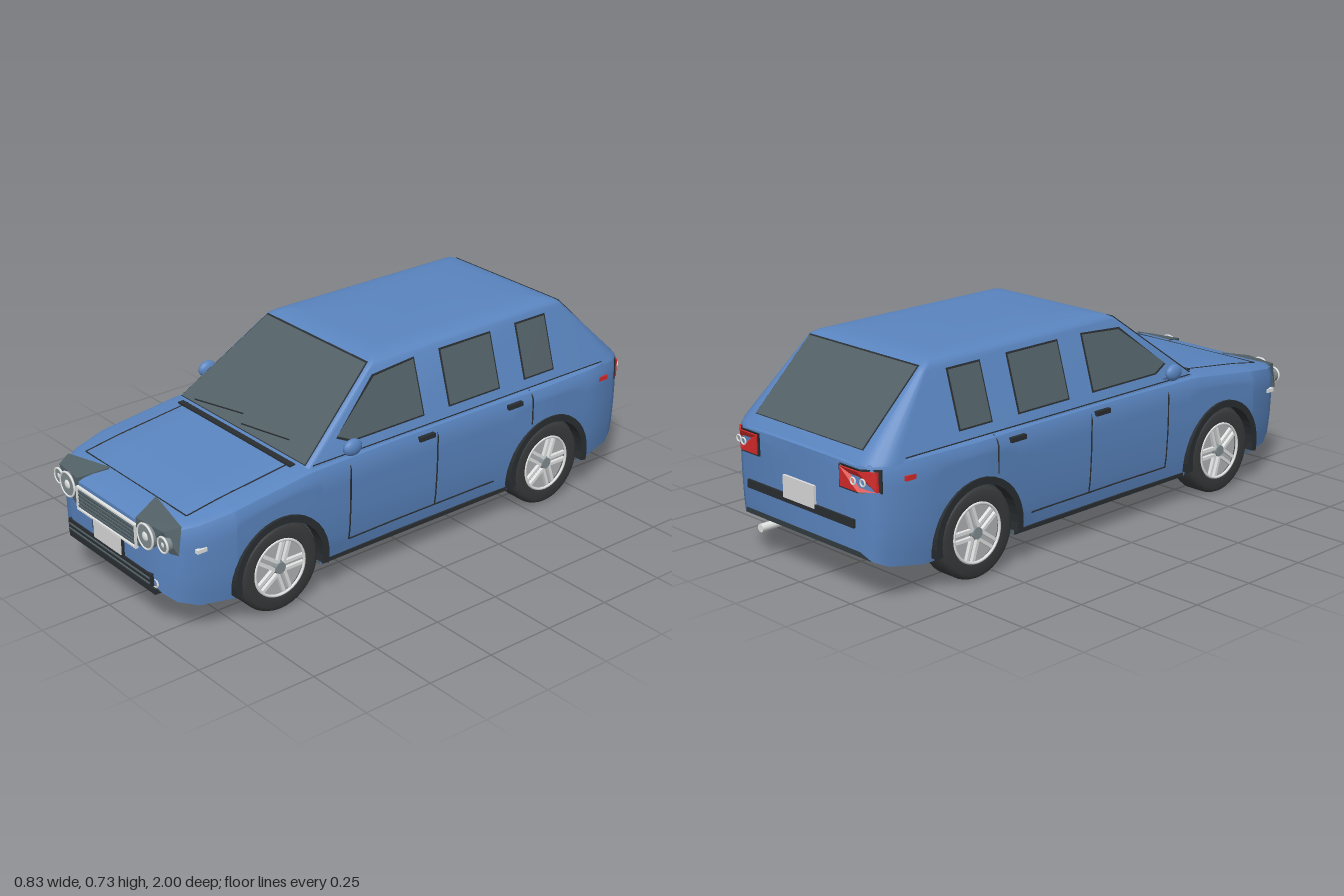
import * as THREE from 'three';
import { toCreasedNormals } from 'three/addons/utils/BufferGeometryUtils.js';

const material = (name, color, side = THREE.FrontSide) => {
  const m = new THREE.MeshStandardMaterial({ color, side });
  m.name = name;
  return m;
};
const V = (x, y, z) => new THREE.Vector3(x, y, z);

// Piecewise linear lookup: rows sorted by first column
function lookup(table, k, col = 1) {
  let i = 1;
  while (i < table.length - 1 && k > table[i][0]) i++;
  const a = table[i - 1], b = table[i];
  const t = THREE.MathUtils.clamp((k - a[0]) / (b[0] - a[0]), 0, 1);
  return a[col] + (b[col] - a[col]) * t;
}

// Lower body stations: z, half width, top, bottom
const STATIONS = [
  [-0.985, 0.29, 0.45, 0.175], [-0.965, 0.33, 0.465, 0.145], [-0.92, 0.358, 0.468, 0.125], [-0.8, 0.383, 0.468, 0.106],
  [-0.58, 0.389, 0.466, 0.1], [-0.3, 0.379, 0.465, 0.1], [0.1, 0.378, 0.465, 0.1], [0.46, 0.385, 0.462, 0.1],
  [0.76, 0.385, 0.425, 0.1], [0.88, 0.36, 0.405, 0.11], [0.94, 0.325, 0.395, 0.13], [0.97, 0.28, 0.385, 0.155],
  [0.985, 0.22, 0.375, 0.19],
];
const TAIL = [[0, 0.985], [0.29, 0.985], [0.33, 0.965], [0.358, 0.92]];
const WHEEL_Z = [0.59, -0.585], WHEEL_R = 0.155, ARCH_R = 0.17;

const bodyTop = z => lookup(STATIONS, z, 2);
function bodyX(y, z) {
  const T = bodyTop(z);
  return lookup(STATIONS, z, 1) * lookup([[0.1, 0.94], [0.15, 0.966], [0.2, 0.985], [0.3, 1],
    [T - 0.04, 1], [T - 0.012, 0.97], [T - 0.002, 0.9]], y);
}
// Flat faces of the cabin
const cabinX = y => 0.357 - (y - 0.46) * 0.304;
const screenZ = y => 0.463 - (y - 0.46) * 1.296;
const hatchZ = y => -0.975 + (y - 0.46) * 1.043;

// Skin over rows of points
function skin(rows, crease = 0.6) {
  const n = rows[0].length, index = [];
  for (let i = 0; i < rows.length - 1; i++) for (let j = 0; j < n - 1; j++) {
    const a = i * n + j, c = a + n;
    index.push(a, c, a + 1, a + 1, c, c + 1);
  }
  const g = new THREE.BufferGeometry().setFromPoints(rows.flat());
  g.setIndex(index);
  return toCreasedNormals(g, crease);
}

// Thin plate from an outline, laid on a surface by a mapping rule
function plate(points, depth, map, hole) {
  const s = new THREE.Shape(points.map(p => new THREE.Vector2(...p)));
  if (hole) s.holes.push(new THREE.Path(hole.map(p => new THREE.Vector2(...p))));
  const g = new THREE.ExtrudeGeometry(s, { depth, bevelEnabled: false }), p = g.attributes.position;
  for (let i = 0; i < p.count; i++) p.setXYZ(i, ...map(p.getX(i), p.getY(i), p.getZ(i)));
  g.computeVertexNormals();
  return g;
}
const rect = (x0, x1, y0, y1) => [[x0, y0], [x1, y0], [x1, y1], [x0, y1]];
function outset(points, d) {
  const n = points.length, cx = points.reduce((s, p) => s + p[0], 0) / n, cy = points.reduce((s, p) => s + p[1], 0) / n;
  return points.map(([x, y]) => [x + Math.sign(x - cx) * d, y + Math.sign(y - cy) * d]);
}

function mirrored(geometry) {
  const g = geometry.index ? geometry.toNonIndexed() : geometry.clone();
  g.scale(-1, 1, 1);
  for (const a of Object.values(g.attributes)) {
    const s = a.itemSize;
    for (let i = 0; i < a.count; i += 3) for (let k = 0; k < s; k++) {
      const q = (i + 1) * s + k, r = (i + 2) * s + k;
      [a.array[q], a.array[r]] = [a.array[r], a.array[q]];
    }
  }
  return g;
}
const tube = (points, r) => new THREE.TubeGeometry(new THREE.CatmullRomCurve3(points), points.length * 3, r, 5);
const box = (w, h, d, x, y, z) => new THREE.BoxGeometry(w, h, d).translate(x, y, z);
const disc = (r, d, x, y, z) => new THREE.CylinderGeometry(r, r, d, 24).rotateX(Math.PI / 2).translate(x, y, z);

export function createModel() {
  const car = new THREE.Group();
  car.name = 'car';
  const paint = material('blue paint', 0x5a85c0), glass = material('dark grey glass', 0x526167, THREE.DoubleSide);
  const trim = material('black trim', 0x2a2e31, THREE.DoubleSide), rubber = material('tyre rubber', 0x383a3b);
  const chrome = material('bright metal', 0xe2e3e3), lens = material('lamp lens', 0x818c90);
  const red = material('red lens', 0xd42a2a), plateGrey = material('plate grey', 0xdadadc), silver = material('wheel silver', 0xb0b3b5);
  const add = (name, g, mat, parent = car) => {
    const m = new THREE.Mesh(g, mat);
    m.name = name;
    parent.add(m);
    return m;
  };
  const pair = (name, g, mat) => { add(name + 'Left', g, mat); add(name + 'Right', mirrored(g), mat); };

  // Lower body with wheel openings: [z, lower edge, width factor]
  const cuts = STATIONS.filter(s => WHEEL_Z.every(c => Math.abs(s[0] - c) > ARCH_R + 0.005)).map(s => [s[0], s[3], 1]);
  for (const c of WHEEL_Z) {
    for (const e of [-1, 1]) { const z = c + e * (ARCH_R + 1e-6); cuts.push([z, lookup(STATIONS, z, 3), 1]); }
    for (let i = 0; i <= 16; i++) {
      const a = Math.PI * i / 16;
      cuts.push([c + ARCH_R * Math.cos(a), WHEEL_R + ARCH_R * Math.sin(a), 1]);
    }
  }
  cuts.sort((a, b) => b[0] - a[0]);
  cuts.unshift([0.985, 0.19, 0]);
  cuts.push([-0.985, 0.175, 0]);
  const shell = [], floor = [];
  for (const [z, low, f] of cuts) {
    const T = bodyTop(z), B = lookup(STATIONS, z, 3), w = lookup(STATIONS, z, 1) * f, half = [];
    for (let k = 0; k <= 6; k++) {
      const y = low + (T - 0.04 - low) * k / 6;
      half.push([bodyX(y, z) * f, y]);
    }
    half.push([w * 0.97, T - 0.012], [w * 0.9, T - 0.002], [w * 0.5, T]);
    const flip = h => [...h].reverse().map(([x, y]) => V(-x, y, z));
    shell.push([...half.map(([x, y]) => V(x, y, z)), V(0, T, z), ...flip(half)]);
    const inner = Math.min(0.26, w * 0.8), under = [[0, B], [inner, B], [inner, low], half[0]];
    floor.push([...flip(under), ...under.map(([x, y]) => V(x, y, z))]);
  }
  add('lowerBody', skin(shell), paint);
  add('underbody', skin(floor, 0.3), glass);

  // Cabin: rounded rectangles stacked upwards: y, half width, front z, rear z, rear corner radius
  const layers = [[0.45, 0.36, 0.475, -0.98, 0.09], [0.46, 0.357, 0.463, -0.975, 0.088], [0.69, 0.287, 0.165, -0.735, 0.026],
    [0.705, 0.2825, 0.1455, -0.7195, 0.024], [0.716, 0.268, 0.124, -0.698, 0.024], [0.723, 0.246, 0.096, -0.668, 0.024],
    [0.727, 0.2, 0.05, -0.62, 0.024], [0.728, 0, -0.28, -0.28, 0]];
  add('cabin', skin(layers.map(([y, hw, zf, zr, rear]) => {
    const ring = [];
    for (let q = 0; q < 4; q++) for (let k = 0; k <= 5; k++) {
      const r = q < 2 ? Math.min(0.024, hw) : rear;
      const a = (q + k / 5) * Math.PI / 2, sx = q === 0 || q === 3 ? 1 : -1;
      ring.push(V(sx * (hw - r) + r * Math.cos(a), y, (q < 2 ? zf - r : zr + r) + r * Math.sin(a)));
    }
    return [...ring, ring[0].clone()];
  }), 0.65), paint);

  // Windows with dark seals
  const onSide = (u, v, d) => [cabinX(v) + d, v, -u];
  const sideWindows = {
    frontDoorWindow: [[0.27, 0.5], [0.325, 0.525], [0.14, 0.668], [-0.03, 0.68], [-0.03, 0.5]],
    rearDoorWindow: rect(-0.37, -0.15, 0.5, 0.68), quarterWindow: rect(-0.625, -0.495, 0.5, 0.68),
  };
  for (const [name, pts] of Object.entries(sideWindows)) {
    const p = pts.map(([z, y]) => [-z, y]);
    pair(name + 'Seal', plate(outset(p, 0.006), 0.002, onSide), trim);
    pair(name, plate(p, 0.004, onSide), glass);
  }
  const onScreen = (u, v, d) => [u, v, screenZ(v) + d], onHatch = (u, v, d) => [-u, v, hatchZ(v) - d];
  const screen = [[-0.34, 0.467], [0.34, 0.467], [0.264, 0.706], [-0.264, 0.706]];
  const hatch = rect(-0.262, 0.262, 0.49, 0.704);
  add('windscreenSeal', plate(outset(screen, 0.003), 0.003, onScreen), trim);
  add('windscreen', plate(screen, 0.006, onScreen), glass);
  add('rearWindowSeal', plate(outset(hatch, 0.003), 0.003, onHatch), trim);
  add('rearWindow', plate(hatch, 0.006, onHatch), glass);
  for (const [x0, y0, x1, y1] of [[-0.27, 0.475, -0.035, 0.498], [-0.01, 0.478, 0.215, 0.497]])
    add('wiper', tube([V(x0, y0, screenZ(y0) + 0.01), V(x1, y1, screenZ(y1) + 0.01)], 0.0025), trim);
  add('cowl', box(0.62, 0.006, 0.022, 0, 0.46, 0.485), trim);

  // Panel gaps, handles, markers, mirrors
  const sideLine = (z0, y0, z1, y1) => tube(Array.from({ length: 9 }, (_, i) => {
    const z = z0 + (z1 - z0) * i / 8, y = y0 + (y1 - y0) * i / 8;
    return V(bodyX(y, z), y, z);
  }), 0.0028);
  for (const l of [[0.305, 0.16, 0.305, 0.458], [-0.07, 0.16, -0.07, 0.458], [-0.5, 0.335, -0.5, 0.458], [0.305, 0.16, -0.34, 0.16]])
    pair('doorGap', sideLine(...l), trim);
  pair('beltLine', tube([V(0.357, 0.463, 0.44), V(0.357, 0.463, -0.86)], 0.002), trim);
  pair('sill', box(0.02, 0.014, 0.82, 0.355, 0.107, 0), trim);
  for (const z of [-0.02, -0.415]) pair('doorHandle', box(0.014, 0.016, 0.065, bodyX(0.42, z) + 0.002, 0.432, z), trim);
  pair('rearSideMarker', box(0.01, 0.016, 0.04, bodyX(0.405, -0.855), 0.405, -0.855).rotateY(0), red);
  pair('frontSideMarker', box(0.014, 0.013, 0.036, bodyX(0.315, 0.88) + 0.001, 0.315, 0.88), chrome);
  pair('mirror', new THREE.SphereGeometry(1, 20, 14).scale(0.019, 0.029, 0.036).translate(0.397, 0.504, 0.31), paint);
  pair('mirrorArm', tube([V(0.345, 0.472, 0.31), V(0.395, 0.49, 0.31)], 0.006), paint);
  pair('bonnetGap', tube([0.47, 0.6, 0.75, 0.88].map(z => V(0.288, bodyTop(z) - 0.001, z)), 0.0025), trim);
  add('bonnetFrontGap', tube([V(-0.288, 0.404, 0.88), V(0.288, 0.404, 0.88)], 0.0025), trim);

  // Headlamps: housing facets wrap onto the bonnet
  const [A, B, C, D, E, G] = [V(0.13, 0.41, 0.885), V(0.325, 0.397, 0.925), V(0.335, 0.306, 0.945),
    V(0.18, 0.295, 0.994), V(0.17, 0.388, 0.99), V(0.3, 0.385, 0.975)];
  const housing = new THREE.BufferGeometry().setFromPoints([D, C, G, D, G, E, C, B, G, E, G, B, E, B, A, D, E, A]);
  housing.computeVertexNormals();
  pair('headlampHousing', housing, glass);
  for (const [x, y, r, z] of [[0.225, 0.345, 0.045, 0.984], [0.3, 0.342, 0.029, 0.97]]) {
    pair('headlampRim', new THREE.TorusGeometry(r - 0.003, 0.004, 8, 28).translate(x, y, z + 0.009), chrome);
    pair('headlampLens', disc(r - 0.003, 0.02, x, y, z), lens);
    pair('headlampBulb', new THREE.SphereGeometry(r * 0.38, 16, 10).scale(1, 1, 0.5).translate(x, y, z + 0.007), chrome);
  }

  // Grille, bumper intakes and front number plate
  const onNose = (u, v, d) => [u, v, 0.982 + d];
  add('grilleFrame', plate(rect(-0.171, 0.171, 0.278, 0.362), 0.014, onNose, rect(-0.165, 0.165, 0.284, 0.356)), chrome);
  add('grilleBack', box(0.332, 0.074, 0.006, 0, 0.32, 0.986), trim);
  for (let i = 0; i < 5; i++) add('grilleSlat', box(0.32, 0.006, 0.008, 0, 0.293 + i * 0.0133, 0.991), glass);
  add('frontPlateFrame', box(0.176, 0.075, 0.012, 0, 0.246, 0.985), trim);
  add('frontPlate', box(0.158, 0.06, 0.006, 0, 0.245, 0.991), plateGrey);
  add('upperIntake', box(0.48, 0.044, 0.04, 0, 0.193, 0.97), trim);
  for (const y of [0.182, 0.2]) add('intakeSlat', box(0.47, 0.004, 0.006, 0, y, 0.991), glass);
  add('intakeStrip', box(0.46, 0.004, 0.02, 0, 0.167, 0.972), chrome);
  add('lowerIntake', box(0.5, 0.018, 0.05, 0, 0.153, 0.958), trim);
  pair('intakeTip', new THREE.TorusGeometry(0.014, 0.004, 6, 16).translate(0.242, 0.181, 0.975), chrome);

  // Rear lamps and bumper
  const onTail = (u, v, d) => [-u, v, -lookup(TAIL, Math.abs(u)) - d];
  const lampOutline = (x0, x1, y0, y1) => [[x0, y0], [0.29, y0], [x1, y0], [x1, y1], [0.29, y1], [x0, y1]].map(([x, y]) => [-x, y]);
  pair('tailLampSurround', plate(lampOutline(0.2, 0.345, 0.366, 0.442), 0.006, onTail), trim);
  pair('tailLamp', plate(lampOutline(0.206, 0.339, 0.372, 0.436), 0.01, onTail), red);
  for (const x of [0.272, 0.307])
    pair('tailLampRing', new THREE.TorusGeometry(0.011, 0.003, 6, 20).translate(x, 0.403, -lookup(TAIL, x) - 0.011), chrome);
  add('rearBumperStrip', box(0.53, 0.028, 0.02, 0, 0.262, -0.983), trim);
  add('rearPlate', box(0.155, 0.075, 0.012, 0, 0.3, -0.988), plateGrey);
  add('exhaust', new THREE.CylinderGeometry(0.014, 0.014, 0.14, 16).rotateX(Math.PI / 2).translate(0.25, 0.103, -0.89), chrome);

  // Wheel arch lips
  for (const c of WHEEL_Z) {
    const lip = [];
    const arc = (r, a0, a1) => {
      for (let i = 0; i <= 20; i++) { const a = a0 + (a1 - a0) * i / 20; lip.push([r * Math.cos(a), WHEEL_R + r * Math.sin(a)]); }
    };
    arc(0.187, -0.2, Math.PI + 0.2);
    arc(0.163, Math.PI + 0.2, -0.2);
    pair('wheelArchLip', plate(lip, 0.045, (u, v, d) => [0.349 + d, v, c - u]), trim);
  }

  // Wheels: local y points outwards
  const tyreProfile = [[0, -0.042], [0.1, -0.048], [0.138, -0.0525], [0.15, -0.046], [0.155, -0.034], [0.155, 0.034],
    [0.15, 0.046], [0.138, 0.0525], [0.104, 0.05], [0.1, 0.03]].map(p => new THREE.Vector2(...p));
  for (const z of WHEEL_Z) for (const s of [1, -1]) {
    const wheel = new THREE.Group();
    wheel.name = (z > 0 ? 'front' : 'rear') + 'Wheel' + (s > 0 ? 'Left' : 'Right');
    wheel.position.set(s * 0.3275, WHEEL_R, z);
    wheel.rotation.z = -s * Math.PI / 2;
    car.add(wheel);
    add('tyre', toCreasedNormals(new THREE.LatheGeometry(tyreProfile, 40), 0.7), rubber, wheel);
    add('rimDish', new THREE.CylinderGeometry(0.101, 0.101, 0.01, 32).translate(0, 0.03, 0), silver, wheel);
    add('rimEdge', new THREE.TorusGeometry(0.098, 0.005, 8, 36).rotateX(Math.PI / 2).translate(0, 0.047, 0), chrome, wheel);
    add('hub', new THREE.CylinderGeometry(0.02, 0.024, 0.02, 16).translate(0, 0.042, 0), lens, wheel);
    for (let i = 0; i < 5; i++) for (const e of [-1, 1])
      add('spoke', box(0.082, 0.012, 0.011, 0.057, 0.042, e * 0.013).rotateY(i * Math.PI * 0.4 + Math.PI / 2), chrome, wheel);
  }
  return car;
}
